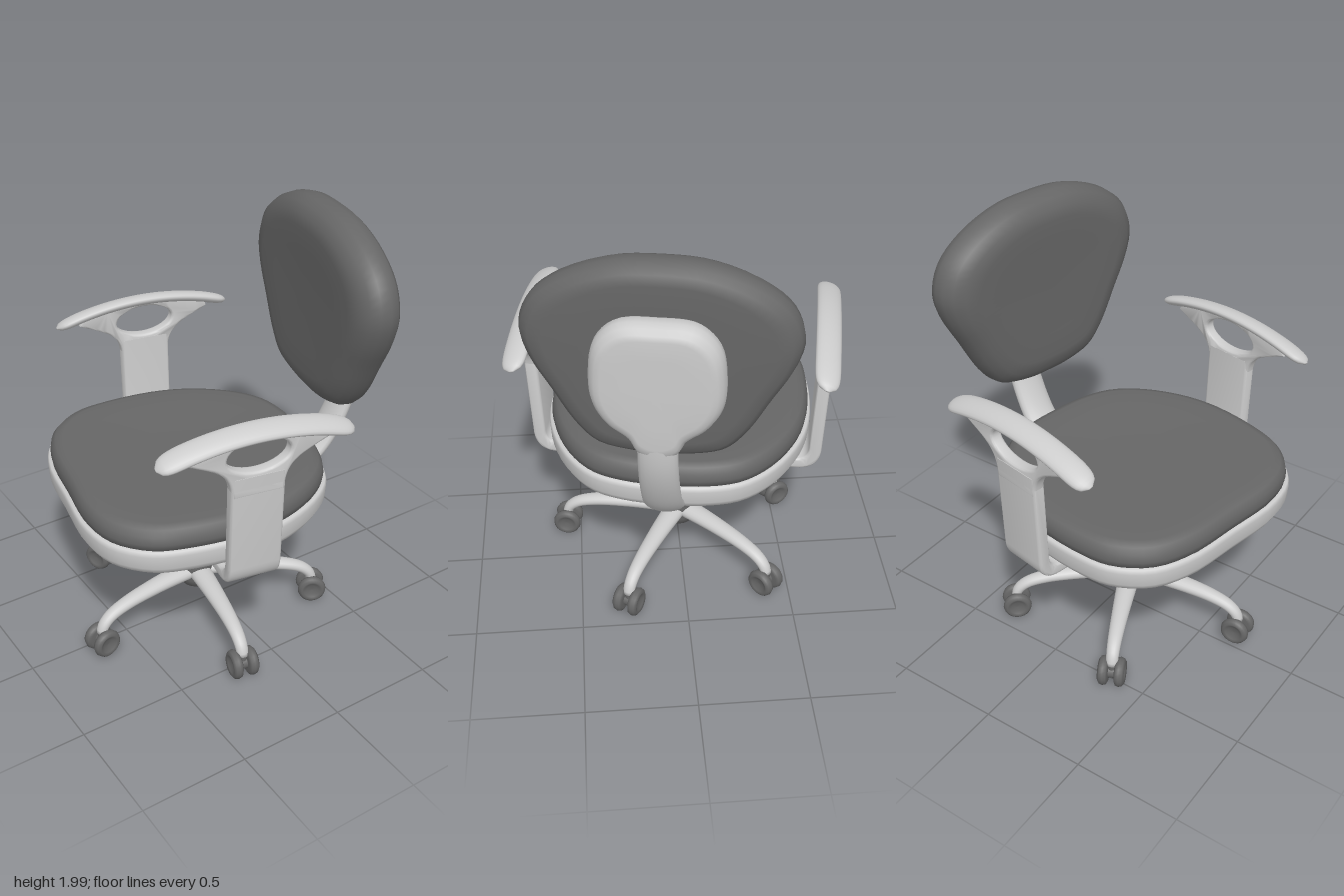
import * as THREE from 'three';
import { toCreasedNormals } from 'three/addons/utils/BufferGeometryUtils.js';

const light = new THREE.MeshStandardMaterial({ color: 0xcccccc });
const dark = new THREE.MeshStandardMaterial({ color: 0x666666 });
const V3 = (x, y, z) => new THREE.Vector3(x, y, z);
const V2 = (x, y) => new THREE.Vector2(x, y);

function part(name, geometry, material, parent) {
  const mesh = new THREE.Mesh(geometry, material);
  mesh.name = name;
  parent.add(mesh);
  return mesh;
}

// Closed, capped skin over rings of equal point count, turned outward by its signed volume
function loft(rings) {
  const n = rings[0].length, last = (rings.length - 1) * n;
  const pts = rings.flat();
  for (const ring of [rings[0], rings[rings.length - 1]]) {
    const c = V3(0, 0, 0);
    ring.forEach((p) => c.addScaledVector(p, 1 / n));
    pts.push(c);
  }
  const tris = [];
  for (let j = 0; j < n; j++) {
    const k = (j + 1) % n;
    for (let o = 0; o < last; o += n) {
      tris.push([o + j, o + k, o + n + j], [o + k, o + n + k, o + n + j]);
    }
    tris.push([last + n, k, j], [last + n + 1, last + j, last + k]);
  }
  let volume = 0;
  for (const [a, b, c] of tris) volume += pts[a].dot(pts[b].clone().cross(pts[c]));
  if (volume < 0) tris.forEach((t) => t.reverse());
  const g = new THREE.BufferGeometry().setFromPoints(pts);
  g.setIndex(tris.flat());
  g.computeVertexNormals();
  return g;
}

// Smooth outline mirrored from half points [along, half width]
function mirroredOutline(half) {
  const other = half.slice().reverse().filter(([, w]) => w > 0).map(([a, w]) => [a, -w]);
  const pts = half.concat(other).map(([a, w]) => V3(a, w, 0));
  return new THREE.CatmullRomCurve3(pts, true).getPoints(72).slice(0, 72);
}

// Stack of scaled outlines; levels are [offset, scale]
function stack(outline, centre, levels, place) {
  return loft(levels.map(([d, s]) =>
    outline.map((p) => place(centre + (p.x - centre) * s, p.y * s, d))));
}

// Elliptical section swept along a path in the xy plane
function sweep(points, thick, wide, steps = 32, tilt = 0) {
  const curve = new THREE.CatmullRomCurve3(points.map(([x, y]) => V3(x, y, 0)));
  const rings = [];
  for (let i = 0; i <= steps; i++) {
    const t = i / steps, c = curve.getPointAt(t), d = curve.getTangentAt(t);
    const ring = [];
    for (let j = 0; j < 20; j++) {
      const a = (j / 20) * Math.PI * 2;
      const h = Math.cos(a) * thick(t), w = Math.sin(a) * wide(t);
      ring.push(V3(c.x - d.y * h, c.y + d.x * h - tilt * w, w));
    }
    rings.push(ring);
  }
  return loft(rings);
}

function addSeat(parent) {
  const outline = mirroredOutline([[-.63, 0], [-.625, .27], [-.565, .45], [-.43, .57], [-.28, .61],
    [0, .62], [.2, .575], [.39, .47], [.51, .34], [.56, .18], [.57, 0]]);
  const place = (a, w, d) => V3(a, d, w);
  part('seatPan', stack(outline, -.03, [[.664, .76], [.665, .84], [.675, .91], [.7, .97], [.73, .995],
    [.79, 1], [.81, .99], [.812, .95]], place), light, parent);
  part('seatUnderside', stack(outline, -.03, [[.655, .78], [.656, .8], [.67, .81]], place), dark, parent);
  part('seatCushion', stack(outline, -.03, [[.8, .965], [.84, .975], [.875, .965], [.9, .935],
    [.911, .88], [.908, .7], [.9, .35]], place), dark, parent);
}

function addBackrest(parent) {
  const place = (a, w, d) => V3(d, a, w);
  const pad = mirroredOutline([[2, 0], [1.985, .2], [1.91, .4], [1.81, .52], [1.68, .565],
    [1.55, .535], [1.4, .455], [1.23, .36], [1.135, .27], [1.098, .13], [1.092, 0]]);
  part('backCushion', stack(pad, 1.57, [[.525, .5], [.518, .74], [.53, .86], [.56, .945], [.6, .99],
    [.645, 1], [.685, .975], [.71, .92], [.722, .82], [.722, .5]], place), dark, parent);

  const plate = mirroredOutline([[1.8, 0], [1.785, .16], [1.7, .245], [1.55, .272], [1.42, .262],
    [1.32, .205], [1.25, .12], [1.18, .08], [1.15, 0]]);
  part('backPlate', stack(plate, 1.53, [[.7, .93], [.74, 1], [.775, 1], [.805, .96], [.825, .89],
    [.832, .8], [.834, .5]], place), light, parent);

  part('backStem', sweep([[.785, 1.36], [.79, 1.24], [.775, 1.1], [.725, .95], [.645, .81], [.53, .7],
    [.39, .64], [.22, .62], [.05, .62]], () => .042, (t) => .082 + .012 * t, 48), light, parent);
}

function addArm(parent, name, turn) {
  const arm = new THREE.Group();
  arm.name = name;
  arm.rotation.y = turn;
  parent.add(arm);

  // L-shaped ribbon from under the seat up the side
  const l = new THREE.Shape();
  l.moveTo(.18, .615);
  l.lineTo(.57, .615);
  l.quadraticCurveTo(.665, .615, .672, .71);
  l.lineTo(.69, 1.16);
  l.lineTo(.655, 1.16);
  l.lineTo(.64, .72);
  l.quadraticCurveTo(.635, .645, .56, .645);
  l.lineTo(.18, .645);
  l.closePath();
  const bevel = { bevelEnabled: true, bevelSize: .013, bevelThickness: .013, bevelSegments: 3, curveSegments: 10 };
  const bracket = new THREE.ExtrudeGeometry(l, { ...bevel, depth: .214 });
  bracket.translate(0, 0, -.107).rotateY(-Math.PI / 2);
  part('armBracket', toCreasedNormals(bracket, .8), light, arm);

  // Flared fork with an oval opening
  const f = new THREE.Shape();
  f.moveTo(-.105, 1.09);
  f.lineTo(.105, 1.09);
  f.bezierCurveTo(.11, 1.22, .19, 1.24, .31, 1.295);
  f.lineTo(.3, 1.325);
  f.quadraticCurveTo(0, 1.4, -.3, 1.325);
  f.lineTo(-.31, 1.295);
  f.bezierCurveTo(-.19, 1.24, -.11, 1.22, -.105, 1.09);
  const hole = new THREE.Path();
  hole.absellipse(0, 1.265, .155, .088, 0, Math.PI * 2, true);
  f.holes.push(hole);
  const fork = new THREE.ExtrudeGeometry(f, { ...bevel, depth: .032, curveSegments: 16 });
  fork.translate(0, 0, .656);
  part('armFork', toCreasedNormals(fork, .8), light, arm);

  // Arched pad with rounded ends, rolled slightly outward
  const end = (t) => Math.sqrt(Math.max(.03, 1 - Math.abs(2 * t - 1) ** 14));
  const pad = part('armPad', sweep([[-.435, 1.288], [-.3, 1.328], [-.15, 1.355], [0, 1.364], [.15, 1.355],
    [.3, 1.328], [.435, 1.288]], (t) => .027 * end(t), (t) => .056 * end(t), 48, .25), light, arm);
  pad.position.z = .674;
}

function addBase(parent) {
  const base = new THREE.Group();
  base.name = 'base';
  parent.add(base);
  const column = [[0, .125], [.04, .13], [.07, .15], [.085, .19], [.087, .26], [.08, .32], [.08, .42],
    [.09, .5], [.098, .57], [.098, .62], [0, .62]].map(([r, y]) => V2(r, y));
  part('column', new THREE.LatheGeometry(column, 32), dark, base);

  const wheel = new THREE.LatheGeometry([[0, -.022], [.05, -.022], [.064, -.015], [.069, 0], [.064, .016],
    [.052, .025], [.04, .02], [.025, .012], [0, .01]].map(([r, y]) => V2(r, y)), 28).rotateX(Math.PI / 2);
  const legGeometry = sweep([[.02, .225], [.25, .227], [.43, .213], [.52, .187], [.562, .15], [.572, .115]],
    (t) => .039 - .015 * t, (t) => .056 - .029 * t);

  for (let i = 0; i < 5; i++) {
    const spoke = new THREE.Group();
    spoke.name = 'spoke' + (i + 1);
    spoke.rotation.y = -THREE.MathUtils.degToRad(173 + 72 * i);
    base.add(spoke);
    part('leg', legGeometry, light, spoke);
    const pin = part('casterPin', new THREE.CylinderGeometry(.018, .022, .08, 12), dark, spoke);
    pin.position.set(.572, .1, 0);
    const axle = part('casterAxle', new THREE.CylinderGeometry(.03, .03, .05, 16), dark, spoke);
    axle.rotation.x = Math.PI / 2;
    axle.position.set(.572, .075, 0);
    for (const s of [1, -1]) {
      const w = part('casterWheel', wheel, dark, spoke);
      w.position.set(.572, .077, s * .037);
      w.rotation.y = s > 0 ? 0 : Math.PI;
    }
  }
}

export function createModel() {
  const chair = new THREE.Group();
  chair.name = 'officeChair';

  // The upper part swivels on the column, facing mostly -x
  const upper = new THREE.Group();
  upper.name = 'swivelSeat';
  upper.position.x = -.1;
  upper.rotation.y = -.187;
  chair.add(upper);

  addSeat(upper);
  addBackrest(upper);
  addArm(upper, 'leftArm', 0);
  addArm(upper, 'rightArm', Math.PI);
  const mount = [[0, .575], [.2, .576], [.235, .59], [.26, .625], [.27, .665], [0, .665]];
  part('seatMount', new THREE.LatheGeometry(mount.map(([r, y]) => V2(r, y)), 40), light, upper);

  const lower = new THREE.Group();
  lower.name = 'lowerFrame';
  lower.position.x = -.1;
  chair.add(lower);
  addBase(lower);
  return chair;
}
